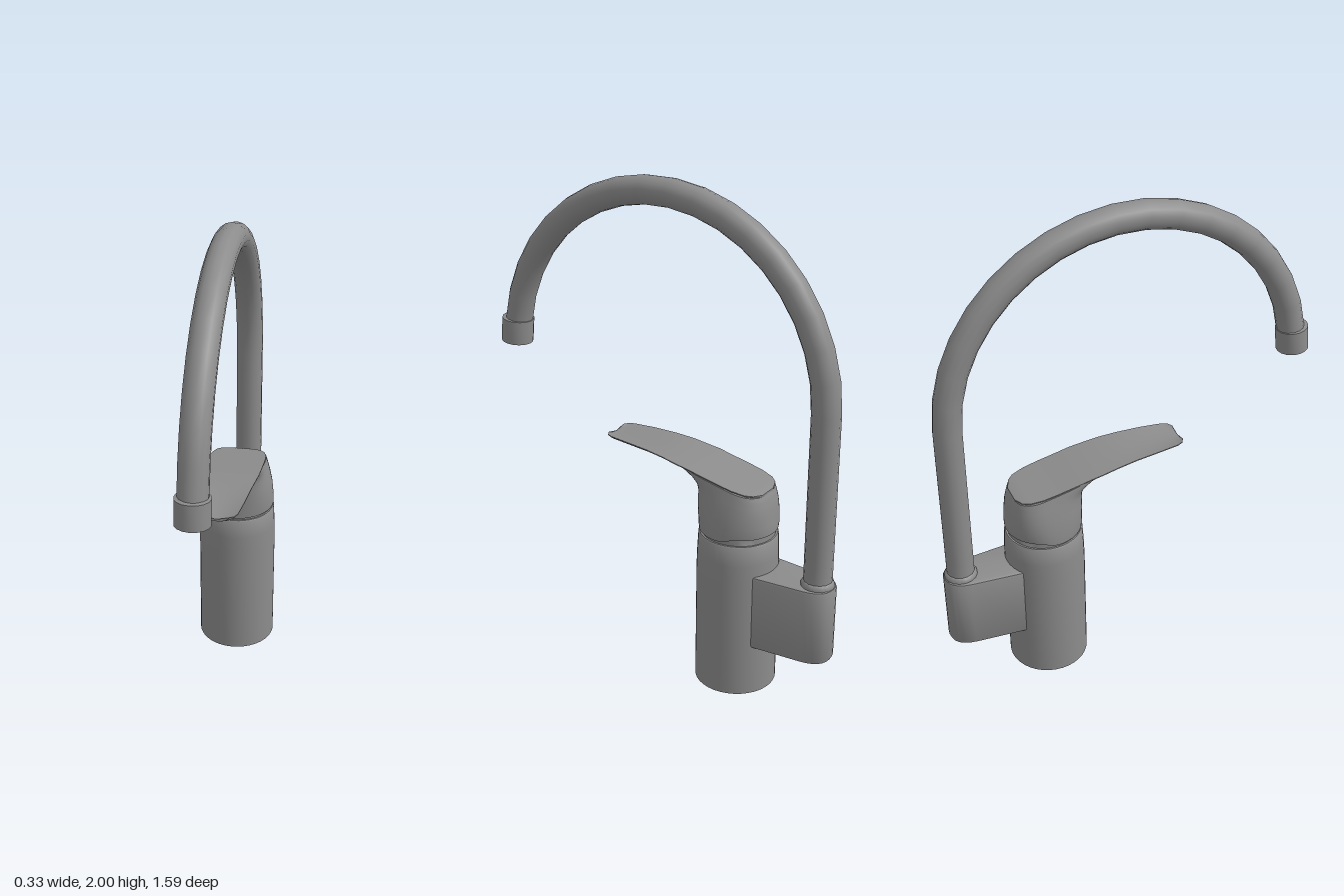
import * as THREE from 'three';
import { toCreasedNormals } from 'three/addons/utils/BufferGeometryUtils.js';

const material = new THREE.MeshStandardMaterial({ color: 0x8c8c8c });
const openMaterial = new THREE.MeshStandardMaterial({ color: 0x8c8c8c, side: THREE.DoubleSide });
const BODY_Z = -0.365;
const PIPE_Z = -0.721;

function part(name, geometry, crease = 0.7) {
  const mesh = new THREE.Mesh(toCreasedNormals(geometry, crease), material);
  mesh.name = name;
  return mesh;
}

function lathe(name, profile, segments) {
  return part(name, new THREE.LatheGeometry(profile.map(([r, y]) => new THREE.Vector2(r, y)), segments));
}

// Skin a list of equal-length closed rings (counter-clockwise seen from the end) and cap both ends
function loft(rings) {
  const n = rings[0].length;
  const all = rings.flat();
  const index = [];
  for (let i = 0; i < rings.length - 1; i++) {
    for (let j = 0; j < n; j++) {
      const a = i * n + j, b = i * n + (j + 1) % n;
      index.push(a, b, b + n, a, b + n, a + n);
    }
  }
  [rings[0], rings[rings.length - 1]].forEach((ring, end) => {
    const centre = ring.reduce((s, p) => s.add(p), new THREE.Vector3()).divideScalar(n);
    const c = all.push(centre) - 1;
    const start = end ? (rings.length - 1) * n : 0;
    for (let j = 0; j < n; j++) {
      const a = start + j, b = start + (j + 1) % n;
      if (end) index.push(c, a, b); else index.push(c, b, a);
    }
  });
  const geometry = new THREE.BufferGeometry().setFromPoints(all);
  geometry.setIndex(index);
  return geometry;
}

// Linear lookup in a table of [key, value] pairs with rising keys
function lookup(table, k) {
  for (let i = 1; i < table.length; i++) {
    const [k0, v0] = table[i - 1], [k1, v1] = table[i];
    if (k <= k1) return v0 + (v1 - v0) * Math.max(0, (k - k0) / (k1 - k0));
  }
  return table[table.length - 1][1];
}

// Lever sections by z: [z, half width, top, thickness]
const LEVER = [
  [-0.491, 0.04, 0.852, 0.02], [-0.475, 0.082, 0.858, 0.025], [-0.45, 0.103, 0.863, 0.03],
  [-0.4, 0.116, 0.873, 0.03], [-0.34, 0.119, 0.885, 0.03], [-0.25, 0.119, 0.903, 0.03],
  [-0.2, 0.119, 0.914, 0.03], [-0.15, 0.117, 0.921, 0.03], [-0.08, 0.112, 0.932, 0.031],
  [0, 0.104, 0.939, 0.032], [0.1, 0.094, 0.942, 0.031], [0.19, 0.081, 0.942, 0.028],
  [0.213, 0.07, 0.942, 0.026], [0.225, 0.05, 0.942, 0.02],
];
const TOP = LEVER.map(([z, , top]) => [z, top]);

function leverGeometry() {
  const steps = 12;
  return loft(LEVER.map(([z, w, top, thickness]) => {
    const ring = [];
    const dip = 0.012 * THREE.MathUtils.smoothstep(z, -0.1, 0.15);
    // rounded underside, left to right
    for (let i = 0; i <= steps; i++) {
      const u = -1 + 2 * i / steps;
      ring.push(new THREE.Vector3(u * w, top - 0.004 - (thickness - 0.004) * (1 - Math.abs(u) ** 3), z));
    }
    // gently dished top, right to left
    for (let i = 0; i <= steps; i++) {
      const u = 1 - 2 * i / steps;
      ring.push(new THREE.Vector3(u * w, top - dip * (1 - u * u), z));
    }
    return ring;
  }));
}

// Handle hub: round at the base, squarer on top, sweeping forward under the lever
function hubGeometry() {
  const halfX = [[0, 0.155], [0.1, 0.155], [0.4, 0.148], [0.7, 0.135], [1, 0.119]];
  const back = [[0, -0.521], [0.1, -0.521], [0.65, -0.509], [0.9, -0.498], [1, -0.491]];
  const front = [[0, -0.21], [0.7, -0.212], [0.78, -0.205], [0.84, -0.19], [0.89, -0.167], [0.94, -0.13], [1, -0.07]];
  const rows = [0, 0.1, 0.25, 0.4, 0.55, 0.7, 0.78, 0.84, 0.89, 0.94, 1];
  return loft(rows.map((t) => {
    const power = 2 / (2 + t);
    const ring = [];
    for (let j = 0; j < 40; j++) {
      const a = j / 40 * Math.PI * 2;
      const c = Math.cos(a), s = -Math.sin(a);
      const x = lookup(halfX, t) * Math.sign(c) * Math.abs(c) ** power;
      const end = lookup(s < 0 ? back : front, t);
      const z = BODY_Z + (end - BODY_Z) * Math.abs(s) ** power;
      const base = 0.667 + 0.016 * THREE.MathUtils.smoothstep(-z, 0.35, 0.44);
      ring.push(new THREE.Vector3(x, base + (lookup(TOP, z) - 0.008 - base) * t, z));
    }
    return ring;
  }));
}

function bracketGeometry() {
  const shape = new THREE.Shape();
  shape.moveTo(-0.095, 0.4);
  shape.lineTo(0.095, 0.4);
  shape.lineTo(0.09, 0.5);
  shape.lineTo(0.072, 0.7);
  shape.quadraticCurveTo(0.066, 0.757, 0.035, 0.774);
  shape.quadraticCurveTo(0, 0.789, -0.035, 0.774);
  shape.quadraticCurveTo(-0.066, 0.757, -0.072, 0.7);
  shape.lineTo(-0.09, 0.5);
  const geometry = new THREE.ExtrudeGeometry(shape, {
    depth: 0.295, bevelThickness: 0.01, bevelSize: 0.01, bevelSegments: 2, curveSegments: 4,
  });
  return geometry.rotateX(-Math.PI / 2).translate(0, 0.219, 0);
}

export function createModel() {
  const model = new THREE.Group();
  model.name = 'kitchenTap';

  // Hollow body, open below, with the narrower neck under the handle
  const body = lathe('body', [
    [0.163, 0], [0.163, 0.5], [0.161, 0.57], [0.157, 0.65], [0.153, 0.655],
    [0.146, 0.655], [0.146, 0.69], [0, 0.69],
  ], 36);
  body.material = openMaterial;
  body.position.z = BODY_Z;
  model.add(body);

  // Handle
  const handle = new THREE.Group();
  handle.name = 'handle';
  handle.add(part('handleHub', hubGeometry()), part('lever', leverGeometry()));
  model.add(handle);

  // Side bracket and the collar at the foot of the spout
  model.add(part('spoutBracket', bracketGeometry()));
  const collar = lathe('spoutCollar', [[0.066, 0.52], [0.066, 0.53], [0.06, 0.543], [0.05, 0.548]], 16);
  collar.position.z = PIPE_Z;
  model.add(collar);

  // Swan-neck spout: a straight riser, then an arc
  const centreY = 1.222, radius = -PIPE_Z, endAngle = 0.13;
  const points = [0.5, 0.75, 1, 1.15].map((y) => new THREE.Vector3(0, y, PIPE_Z));
  for (let i = 0; i <= 16; i++) {
    const a = Math.PI + (endAngle - Math.PI) * i / 16;
    points.push(new THREE.Vector3(0, centreY + radius * Math.sin(a), radius * Math.cos(a)));
  }
  const path = new THREE.CatmullRomCurve3(points);
  model.add(part('spout', new THREE.TubeGeometry(path, 24, 0.056, 14)));

  // Nozzle with a recessed outlet
  const tilt = 0.095;
  const nozzle = lathe('nozzle', [
    [0, 0.025], [0.054, 0.025], [0.057, 0], [0.066, 0], [0.066, 0.1], [0.05, 0.103],
  ], 16);
  nozzle.position.set(0, 1.222, 0.73);
  nozzle.rotation.x = -tilt;
  model.add(nozzle);

  return model;
}
